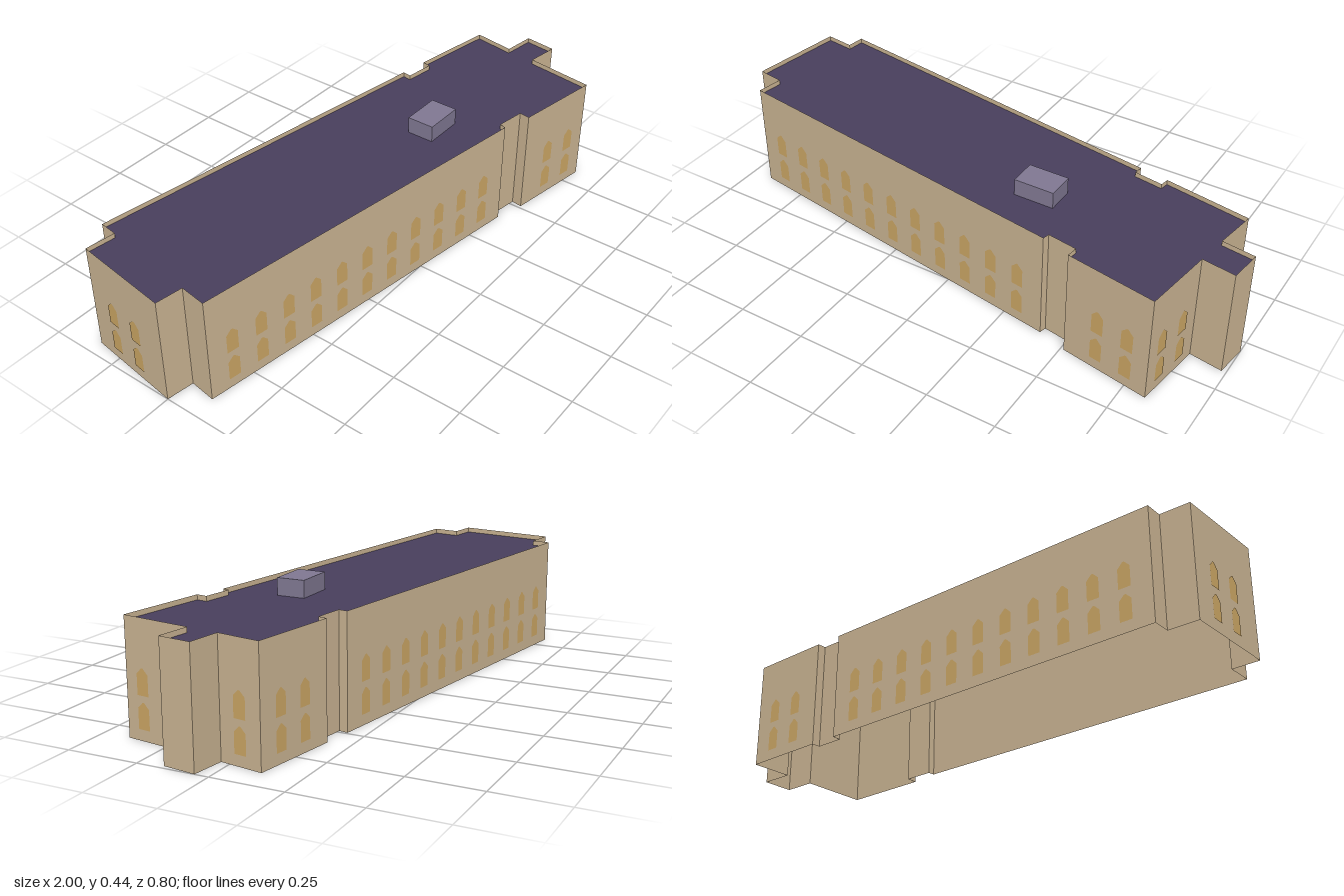
import * as THREE from 'three';

const WALL_H = 0.395, ROOF_Y = 0.377;

// Footprint corners [x, z], from the west end round the back, east and front
const outline = [
  [-1, 0], [-0.95, -0.35], [-0.843, -0.335], [-0.835, -0.4],
  [0.493, -0.188], [0.488, -0.157], [0.592, -0.141], [0.598, -0.172],
  [0.907, -0.12], [0.882, 0.032], [1, 0.048], [0.984, 0.164],
  [0.866, 0.146], [0.83, 0.4], [0.511, 0.346], [0.517, 0.307],
  [0.411, 0.29], [0.405, 0.314], [-0.917, 0.11], [-0.903, 0.015],
];

// Evenly spaced fractions along a wall
const spread = (n, a, b) => Array.from({ length: n }, (_, i) => a + (b - a) * i / (n - 1));

// Window positions along each wall, keyed by the wall's first corner
const windowsOn = {
  0: [0.38, 0.7],
  3: spread(11, 0.073, 0.927),
  7: [0.35, 0.71],
  8: [0.5],
  12: [0.295, 0.737],
  13: [0.255, 0.61],
  17: spread(11, 0.076, 0.93),
};

export function createModel() {
  const group = new THREE.Group();
  const mat = (name, color) => new THREE.MeshStandardMaterial({ name, color, side: THREE.DoubleSide });
  const wallMat = mat('tan wall', 0xc8b291);
  const windowMat = mat('amber window', 0xc9a463);
  const roofMat = mat('dark purple roof', 0x483e5c);
  const hutMat = mat('grey purple rooftop box', 0x7f7791);

  // Window plate with a pointed head, base at y = 0
  const w = 0.0225;
  const paneGeo = new THREE.ShapeGeometry(new THREE.Shape([
    [-w, 0], [w, 0], [w, 0.069], [0.003, 0.088], [-0.003, 0.088], [-w, 0.069],
  ].map(([x, y]) => new THREE.Vector2(x, y))));

  const walls = new THREE.Group();
  walls.name = 'walls';
  const windows = new THREE.Group();
  windows.name = 'windows';
  group.add(walls, windows);

  outline.forEach(([x0, z0], i) => {
    const [x1, z1] = outline[(i + 1) % outline.length];
    const dx = x1 - x0, dz = z1 - z0, len = Math.hypot(dx, dz);
    const nx = dz / len, nz = -dx / len, turn = Math.atan2(nx, nz);

    // Wall panel, rising past the roof as a parapet
    const wall = new THREE.Mesh(new THREE.PlaneGeometry(len, WALL_H), wallMat);
    wall.name = 'wall';
    wall.position.set((x0 + x1) / 2, WALL_H / 2, (z0 + z1) / 2);
    wall.rotation.y = turn;
    walls.add(wall);

    // Two storeys of windows just off the wall face
    for (const t of windowsOn[i] || []) {
      for (const y of [0.038, 0.148]) {
        const pane = new THREE.Mesh(paneGeo, windowMat);
        pane.name = 'window';
        pane.position.set(x0 + dx * t + nx * 0.002, y, z0 + dz * t + nz * 0.002);
        pane.rotation.y = turn;
        windows.add(pane);
      }
    }
  });

  // Flat roof set below the parapet top
  const roofShape = new THREE.Shape(outline.map(([x, z]) => new THREE.Vector2(x, -z)));
  const roof = new THREE.Mesh(new THREE.ShapeGeometry(roofShape).rotateX(-Math.PI / 2), roofMat);
  roof.name = 'roof';
  roof.position.y = ROOF_Y;
  group.add(roof);

  // Rooftop box
  const hutH = 0.437 - ROOF_Y;
  const hut = new THREE.Mesh(new THREE.BoxGeometry(0.145, hutH, 0.1), hutMat);
  hut.name = 'rooftopBox';
  hut.position.set(0.27, ROOF_Y + hutH / 2, 0.095);
  group.add(hut);

  return group;
}
